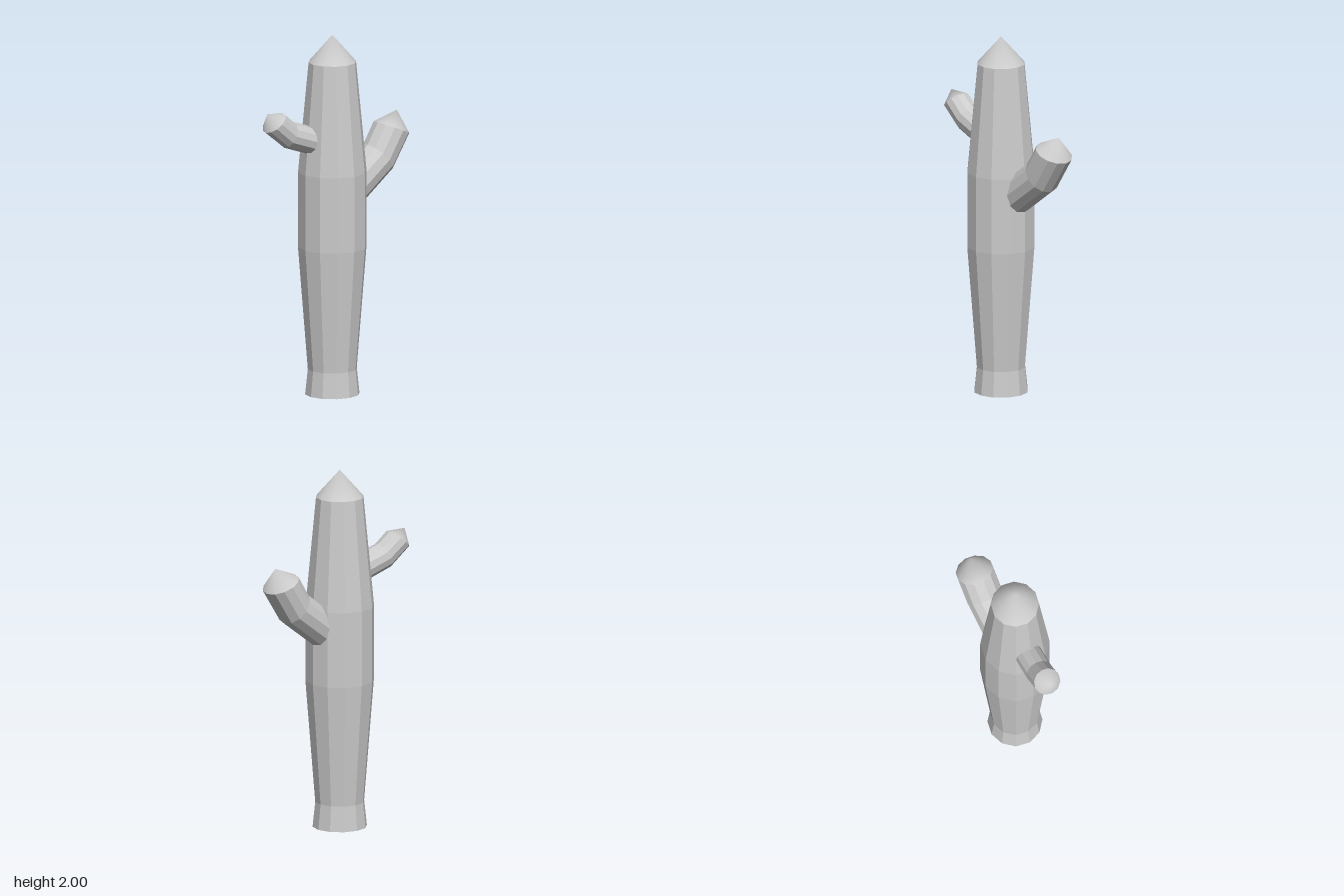
import * as THREE from 'three';

const SIDES = 12;
const vec = (p) => new THREE.Vector3(...p);

// Ring of points round a centre, square to the direction of growth
function ringPoints({ at, dir, r }) {
  const t = vec(dir).normalize();
  const v = new THREE.Vector3(0, 0, 1).addScaledVector(t, -t.z).normalize();
  const u = v.clone().cross(t);
  return Array.from({ length: SIDES }, (_, i) => {
    const a = (i / SIDES) * Math.PI * 2;
    return vec(at).addScaledVector(u, r * Math.cos(a)).addScaledVector(v, r * Math.sin(a));
  });
}

function makeGeometry(points, index) {
  const g = new THREE.BufferGeometry().setFromPoints(points);
  g.setIndex(index);
  g.computeVertexNormals();
  return g;
}

// Faceted stem through the rings, closed at its base, with a smooth pointed cap
function makeStem(name, rings, tipHeight) {
  const group = new THREE.Group();
  group.name = name;

  const points = rings.flatMap(ringPoints);
  const index = [];
  const baseCentre = points.push(vec(rings[0].at)) - 1;
  for (let j = 0; j < SIDES; j++) {
    const k = (j + 1) % SIDES;
    index.push(baseCentre, k, j);
    for (let i = 0; i < rings.length - 1; i++) {
      const lo = i * SIDES, hi = lo + SIDES;
      index.push(lo + j, lo + k, hi + k, lo + j, hi + k, hi + j);
    }
  }
  const body = new THREE.Mesh(
    makeGeometry(points, index),
    new THREE.MeshStandardMaterial({ color: 0xcccccc, flatShading: true })
  );
  body.name = name + 'Body';

  const end = rings[rings.length - 1];
  const capPoints = ringPoints(end);
  capPoints.push(vec(end.at).addScaledVector(vec(end.dir).normalize(), tipHeight));
  const capIndex = [];
  for (let j = 0; j < SIDES; j++) capIndex.push(j, (j + 1) % SIDES, SIDES);
  const cap = new THREE.Mesh(
    makeGeometry(capPoints, capIndex),
    new THREE.MeshStandardMaterial({ color: 0xcccccc })
  );
  cap.name = name + 'Tip';

  group.add(body, cap);
  return group;
}

export function createModel() {
  const model = new THREE.Group();
  model.name = 'cactus';

  // Trunk: flared foot, swollen middle, tapered top
  const profile = [[0, 0.15], [0.14, 0.135], [0.82, 0.189], [1.24, 0.189], [1.85, 0.131]];
  model.add(makeStem('trunk',
    profile.map(([y, r]) => ({ at: [-0.04, y, 0], dir: [0, 1, 0], r })), 0.15));

  // Thick arm bending upward on the left
  model.add(makeStem('leftArm', [
    { at: [0.04, 1.095, 0], dir: [0.8, 0.6, 0], r: 0.104 },
    { at: [0.28, 1.275, 0], dir: [0.73, 0.68, 0], r: 0.104 },
    { at: [0.375, 1.425, 0], dir: [0.39, 0.92, 0], r: 0.104 },
  ], 0.1));

  // Thin arm higher up on the right, angled slightly backward
  model.add(makeStem('rightArm', [
    { at: [-0.1, 1.4, -0.002], dir: [-0.94, 0.33, -0.09], r: 0.075 },
    { at: [-0.325, 1.478, -0.025], dir: [-0.9, 0.42, -0.09], r: 0.075 },
    { at: [-0.422, 1.557, -0.033], dir: [-0.64, 0.77, -0.06], r: 0.075 },
  ], 0.07));

  return model;
}
